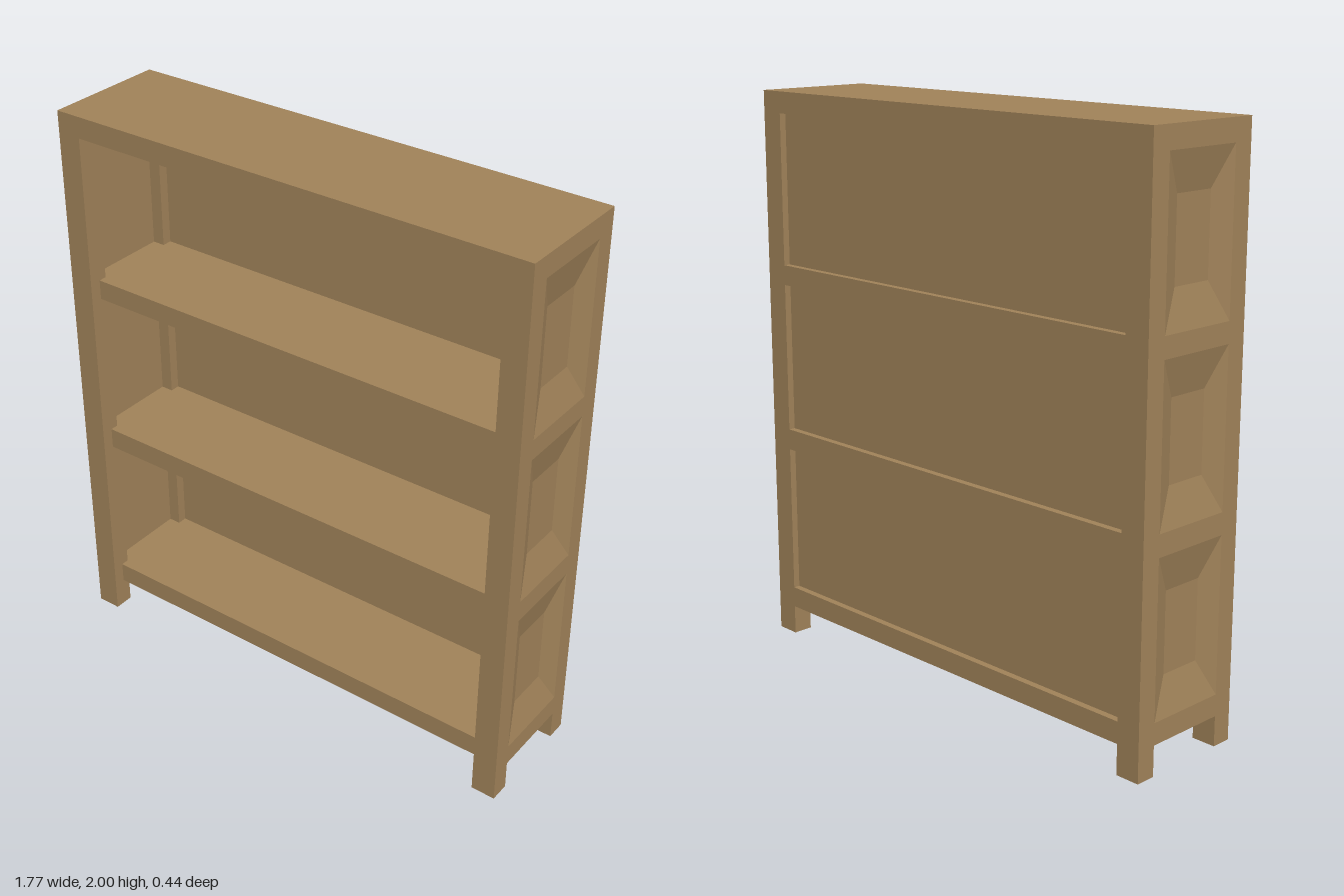
import * as THREE from 'three';

const W = 0.887, D = 0.222;          // outer half width and half depth
const PX = 0.8, PZ = 0.15;           // inner edges of the corner posts
const WALL = 0.845;                  // inner face of the side walls
const FRONT = 0.18, BACK = -0.186;   // shelf front edge, inner face of the back
const LEVELS = [[0.105, 0.18], [0.715, 0.79], [1.322, 1.393], [1.925, 2]];

export function createModel() {
  const wood = new THREE.MeshStandardMaterial({ color: 0xa08259 });
  wood.name = 'wood';
  const model = new THREE.Group();
  model.name = 'bookcase';

  // Box given by its lower and upper limits on each axis
  const box = (name, x0, x1, y0, y1, z0, z1, parent = model) => {
    const mesh = new THREE.Mesh(new THREE.BoxGeometry(x1 - x0, y1 - y0, z1 - z0), wood);
    mesh.position.set((x0 + x1) / 2, (y0 + y1) / 2, (z0 + z1) / 2);
    mesh.name = name;
    parent.add(mesh);
  };

  // Sunken panel facing +x: four sloping borders around a flat field
  const sunkenPanel = (y0, y1) => {
    const ring = (x, dy, dz) => [
      [x, y0 + dy, PZ - dz], [x, y0 + dy, dz - PZ],
      [x, y1 - dy, dz - PZ], [x, y1 - dy, PZ - dz]];
    const outer = ring(W, 0, 0), inner = ring(W - 0.03, 0.13, 0.073);
    const pos = [];
    const quad = (a, b, c, d) => pos.push(...a, ...b, ...c, ...a, ...c, ...d);
    for (let i = 0; i < 4; i++) {
      const j = (i + 1) % 4;
      quad(outer[i], outer[j], inner[j], inner[i]);
    }
    quad(...inner);
    const geo = new THREE.BufferGeometry();
    geo.setAttribute('position', new THREE.Float32BufferAttribute(pos, 3));
    geo.computeVertexNormals();
    const mesh = new THREE.Mesh(geo, wood);
    mesh.name = 'sunkenSidePanel';
    return mesh;
  };

  // Two sides: posts, inner wall, rails and sunken panels
  for (const name of ['leftSide', 'rightSide']) {
    const side = new THREE.Group();
    side.name = name;
    if (name === 'rightSide') side.rotation.y = Math.PI;
    box('post', PX, W, 0, 1.925, PZ, D, side);
    box('post', PX, W, 0, 1.925, -D, -PZ, side);
    box('innerWall', WALL, WALL + 0.008, 0.105, 1.925, -PZ, PZ, side);
    LEVELS.forEach(([y0, y1], i) => {
      if (i === 3) return;
      box('sideRail', WALL, W, y0, y1, -PZ, PZ, side);
      side.add(sunkenPanel(y1, LEVELS[i + 1][0]));
    });
    model.add(side);
  }

  // Shelves with back rails, and the top board
  LEVELS.slice(0, 3).forEach(([y0, y1]) => {
    box('shelf', -WALL, WALL, y0, y1, BACK, FRONT);
    box('backRail', -PX, PX, y0, y1, -D, BACK);
  });
  box('topBoard', -W, W, 1.925, 2, -D, D);

  // Back panels, set in from the rear
  for (let i = 0; i < 3; i++) {
    box('backPanel', -PX, PX, LEVELS[i][1], LEVELS[i + 1][0], -0.198, BACK);
  }
  return model;
}
